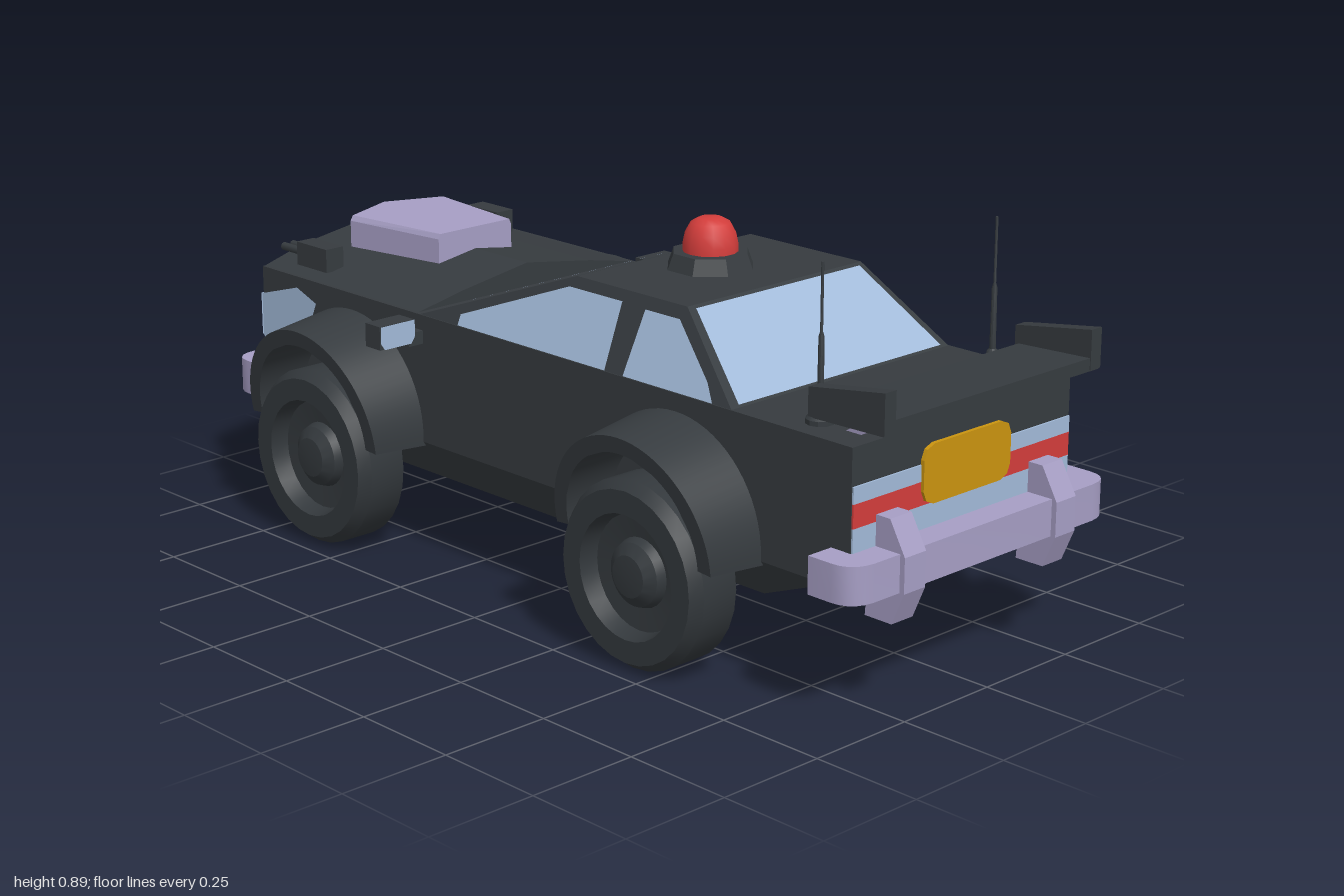
import * as THREE from 'three';
import { toCreasedNormals } from 'three/addons/utils/BufferGeometryUtils.js';
import { ConvexGeometry } from 'three/addons/geometries/ConvexGeometry.js';

const mat = (name, color, side = THREE.FrontSide) => {
  const m = new THREE.MeshStandardMaterial({ color, side });
  m.name = name;
  return m;
};

export function createModel() {
  const car = new THREE.Group();
  car.name = 'car';
  const black = mat('charcoal paint', 0x363b3f);
  const rubber = mat('dark rubber', 0x33383c);
  const lilac = mat('lilac trim', 0xa69ec4);
  const glass = mat('pale blue glass', 0xa2bad9, THREE.DoubleSide);
  const red = mat('red light', 0xd33d3b);
  const amber = mat('amber plate', 0xca9410);

  const add = (name, geo, material, parent = car) => {
    const m = new THREE.Mesh(geo, material);
    m.name = name;
    parent.add(m);
    return m;
  };
  // Solid wrapped around a set of points
  const hull = (name, pts, material, parent) =>
    add(name, new ConvexGeometry(pts.map(p => new THREE.Vector3(...p))), material, parent);
  const box = (name, x0, x1, y0, y1, z0, z1, material, parent) => {
    const g = new THREE.BoxGeometry(x1 - x0, y1 - y0, Math.abs(z1 - z0));
    return add(name, g.translate((x0 + x1) / 2, (y0 + y1) / 2, (z0 + z1) / 2), material, parent);
  };
  // Flat convex face through the given corners
  const panel = (name, pts, material) => {
    const tri = [];
    for (let i = 1; i < pts.length - 1; i++) tri.push(...pts[0], ...pts[i], ...pts[i + 1]);
    const g = new THREE.BufferGeometry();
    g.setAttribute('position', new THREE.Float32BufferAttribute(tri, 3));
    g.computeVertexNormals();
    return add(name, g, material);
  };
  // Side profile (x, y) made solid between two z values
  const slab = (name, pts, z0, z1, material, parent) =>
    hull(name, pts.flatMap(([x, y]) => [[x, y, z0], [x, y, z1]]), material, parent);
  const bothZ = pts => pts.flatMap(([x, y, z]) => [[x, y, z], [x, y, -z]]);

  // Body shell, belly, nose and hood
  slab('body', [[-0.945, 0.27], [-0.945, 0.565], [0.92, 0.565], [0.92, 0.29], [0.86, 0.27]], -0.33, 0.33, black);
  hull('belly', bothZ([[-0.94, 0.27, 0.33], [0.86, 0.27, 0.33], [-0.85, 0.17, 0.265], [0.63, 0.17, 0.265]]), black);
  box('nosePanel', -0.965, -0.9, 0.36, 0.575, -0.195, 0.195, black);
  hull('hood', bothZ([
    [-0.945, 0.563, 0.33], [-0.385, 0.563, 0.33], [-0.968, 0.565, 0.195],
    [-0.968, 0.59, 0.195], [-0.385, 0.59, 0.195], [-0.968, 0.62, 0], [-0.385, 0.62, 0],
  ]), black);
  hull('hoodScoop', [0.59, 0.66, 0.672].flatMap((y, i) => {
    const s = i === 2 ? 0.95 : 1;
    return bothZ([[-0.91 + (1 - s) * 0.2, y, 0], [-0.845, y, 0.145 * s], [-0.565, y, 0.11 * s]]);
  }), lilac);

  // Cabin; its side leans inward with height
  const y0 = 0.56, y1 = 0.725;
  const sideZ = y => 0.33 - 0.07 * (y - y0) / (y1 - y0);
  hull('cabin', bothZ([[-0.385, y0, 0.33], [0.6, y0, 0.33], [0.07, y1, 0.26], [0.4, y1, 0.26]]), black);
  const screenY = x => y0 + (x + 0.385) / 0.455 * (y1 - y0) + 0.004;
  const rearY = x => y0 + (0.6 - x) / 0.2 * (y1 - y0) + 0.004;
  panel('windshield', [[-0.355, screenY(-0.355), 0.29], [0, screenY(0), 0.25],
    [0, screenY(0), -0.25], [-0.355, screenY(-0.355), -0.29]], glass);
  panel('rearWindow', [[0.41, rearY(0.41), 0.245], [0.592, rearY(0.592), 0.305],
    [0.592, rearY(0.592), -0.305], [0.41, rearY(0.41), -0.245]], glass);

  const frontGlass = [[-0.24, 0.567], [-0.24, 0.59], [0.06, 0.703], [0.222, 0.703], [0.228, 0.567]];
  const backGlass = [[0.283, 0.567], [0.292, 0.70], [0.393, 0.70], [0.515, 0.602], [0.543, 0.567]];
  const headlight = [[-0.945, 0.40], [-0.945, 0.50], [-0.81, 0.54], [-0.74, 0.515], [-0.76, 0.47], [-0.91, 0.36]];
  const overrider = [[0.9, 0.2], [0.97, 0.2], [1, 0.27], [1, 0.345], [0.96, 0.415], [0.917, 0.415]];

  for (const s of [1, -1]) {
    const side = s > 0 ? 'left' : 'right';
    for (const [name, pts] of [['frontDoorWindow', frontGlass], ['backSideWindow', backGlass]])
      panel(name + '_' + side, pts.map(([x, y]) => [x, y, s * (sideZ(y) + 0.004)]), glass);

    // Wraparound headlights
    panel('headlightSide_' + side, headlight.map(([x, y]) => [x, y, s * 0.334]), glass);
    panel('headlightFront_' + side, [[-0.949, 0.4, s * 0.334], [-0.949, 0.5, s * 0.334],
      [-0.949, 0.52, s * 0.195], [-0.949, 0.37, s * 0.195]], glass);

    // Door mirrors
    box('mirrorStem_' + side, -0.39, -0.36, 0.5, 0.53, s * 0.31, s * 0.37, black);
    box('mirrorHousing_' + side, -0.405, -0.355, 0.51, 0.563, s * 0.36, s * 0.455, black);
    panel('mirrorGlass_' + side, [[-0.351, 0.51, s * 0.37], [-0.351, 0.51, s * 0.445],
      [-0.351, 0.525, s * 0.455], [-0.351, 0.563, s * 0.455], [-0.351, 0.563, s * 0.36], [-0.351, 0.525, s * 0.36]], glass);

    // Fender guns
    box('gunBody_' + side, -0.87, -0.76, 0.575, 0.63, s * 0.235, s * 0.285, black);
    for (const dz of [-0.013, 0.013]) {
      const g = new THREE.CylinderGeometry(0.01, 0.01, 0.07, 8).rotateZ(Math.PI / 2);
      add('gunBarrel_' + side, g.translate(-0.9, 0.605, s * 0.26 + dz), black);
    }

    // Antennas
    const aerial = [[0.03, 0.56], [0.03, 0.575], [0.015, 0.59], [0.012, 0.605], [0.007, 0.61], [0.006, 0.74], [0.003, 0.75], [0.003, 0.89], [0, 0.89]];
    add('antenna_' + side, toCreasedNormals(new THREE.LatheGeometry(
      aerial.map(p => new THREE.Vector2(...p)), 10), 0.6).translate(0.77, 0, s * 0.26), black);

    // Spoiler ends and struts
    slab('spoilerEnd_' + side, [[0.8, 0.6], [0.8, 0.66], [0.997, 0.69], [0.997, 0.605]], s * 0.295, s * 0.327, black);
    slab('spoilerStrut_' + side, [[0.83, 0.56], [0.87, 0.56], [0.95, 0.606], [0.91, 0.606]], s * 0.23, s * 0.26, lilac);
  }
  slab('spoilerWing', [[0.81, 0.598], [0.81, 0.622], [0.995, 0.63], [0.995, 0.602]], -0.325, 0.325, black);

  // Bumpers with rounded corners, front and rear
  const plan = new THREE.Shape();
  plan.moveTo(0.87, -0.395);
  plan.lineTo(0.93, -0.395);
  plan.quadraticCurveTo(0.985, -0.395, 0.988, -0.335);
  plan.lineTo(0.988, 0.335);
  plan.quadraticCurveTo(0.985, 0.395, 0.93, 0.395);
  plan.lineTo(0.87, 0.395);
  for (const end of ['rear', 'front']) {
    const g = new THREE.Group();
    g.name = end + 'Bumper';
    if (end === 'front') g.rotation.y = Math.PI;
    const bar = new THREE.ExtrudeGeometry(plan, { depth: 0.08, bevelEnabled: false, curveSegments: 5 });
    add('bumperBar', toCreasedNormals(bar.rotateX(Math.PI / 2).translate(0, 0.35, 0), 0.5), lilac, g);
    for (const s of [1, -1]) slab('overrider', overrider, s * 0.2, s * 0.262, lilac, g);
    car.add(g);
  }

  // Tail light bands and rear plate
  box('upperTailBand', 0.915, 0.924, 0.45, 0.485, -0.328, 0.328, glass);
  box('redTailBand', 0.915, 0.924, 0.4, 0.45, -0.328, 0.328, red);
  box('lowerTailBand', 0.915, 0.924, 0.345, 0.4, -0.328, 0.328, glass);
  const c = 0.03, w = 0.132, h = 0.0625;
  const plate = [[w - c, h], [w - c * 0.3, h - c * 0.3], [w, h - c]].flatMap(([z, y]) =>
    [[1, 1], [1, -1], [-1, 1], [-1, -1]].flatMap(([a, b]) => [[0.922, 0.4625 + y * b, z * a], [0.931, 0.4625 + y * b, z * a]]));
  hull('rearPlate', plate, amber);

  // Roof beacon
  add('beaconBase', toCreasedNormals(new THREE.CylinderGeometry(0.085, 0.1, 0.04, 8), 0.3)
    .rotateY(Math.PI / 8).translate(0.205, 0.74, 0), black);
  const dome = [[0.06, 0.755], [0.06, 0.775], [0.055, 0.8], [0.043, 0.822], [0.025, 0.832], [0, 0.833]];
  add('beaconDome', new THREE.LatheGeometry(dome.map(p => new THREE.Vector2(...p)), 14).translate(0.205, 0, 0), red);

  // Wheels and flared arches
  const tyre = [[0, 0.33], [0.17, 0.33], [0.203, 0.355], [0.203, 0.445], [0.185, 0.47], [0.135, 0.47],
    [0.125, 0.43], [0.075, 0.425], [0.068, 0.445], [0.045, 0.462], [0, 0.467]];
  const wheelGeo = toCreasedNormals(new THREE.LatheGeometry(tyre.map(p => new THREE.Vector2(...p)), 28), 0.5)
    .rotateX(Math.PI / 2).translate(0, 0.204, 0);

  const ring = new THREE.Shape();
  ring.absarc(0, 0, 0.248, -0.08, Math.PI + 0.08, false);
  ring.absarc(0, 0, 0.19, Math.PI + 0.08, -0.08, true);
  const arch = new THREE.ExtrudeGeometry(ring, { depth: 1, bevelEnabled: false, curveSegments: 18 });
  const p = arch.attributes.position;
  for (let i = 0; i < p.count; i++) {
    let x = p.getX(i), y = p.getY(i);
    const outer = p.getZ(i) > 0.5;
    if (outer && Math.hypot(x, y) > 0.22) { x *= 0.91; y *= 0.91; }
    p.setXYZ(i, x, y + 0.28, outer ? 0.453 + y * 0.16 : 0.32);
  }
  arch.computeVertexNormals();
  const archGeo = toCreasedNormals(arch, 0.5);

  for (const [name, x] of [['front', -0.612], ['rear', 0.436]]) for (const s of [1, -1]) {
    const g = new THREE.Group();
    g.name = name + 'WheelAssembly';
    g.position.x = x;
    if (s < 0) g.rotation.y = Math.PI;
    add('wheel', wheelGeo, rubber, g);
    add('wheelArch', archGeo, black, g);
    car.add(g);
  }
  return car;
}
